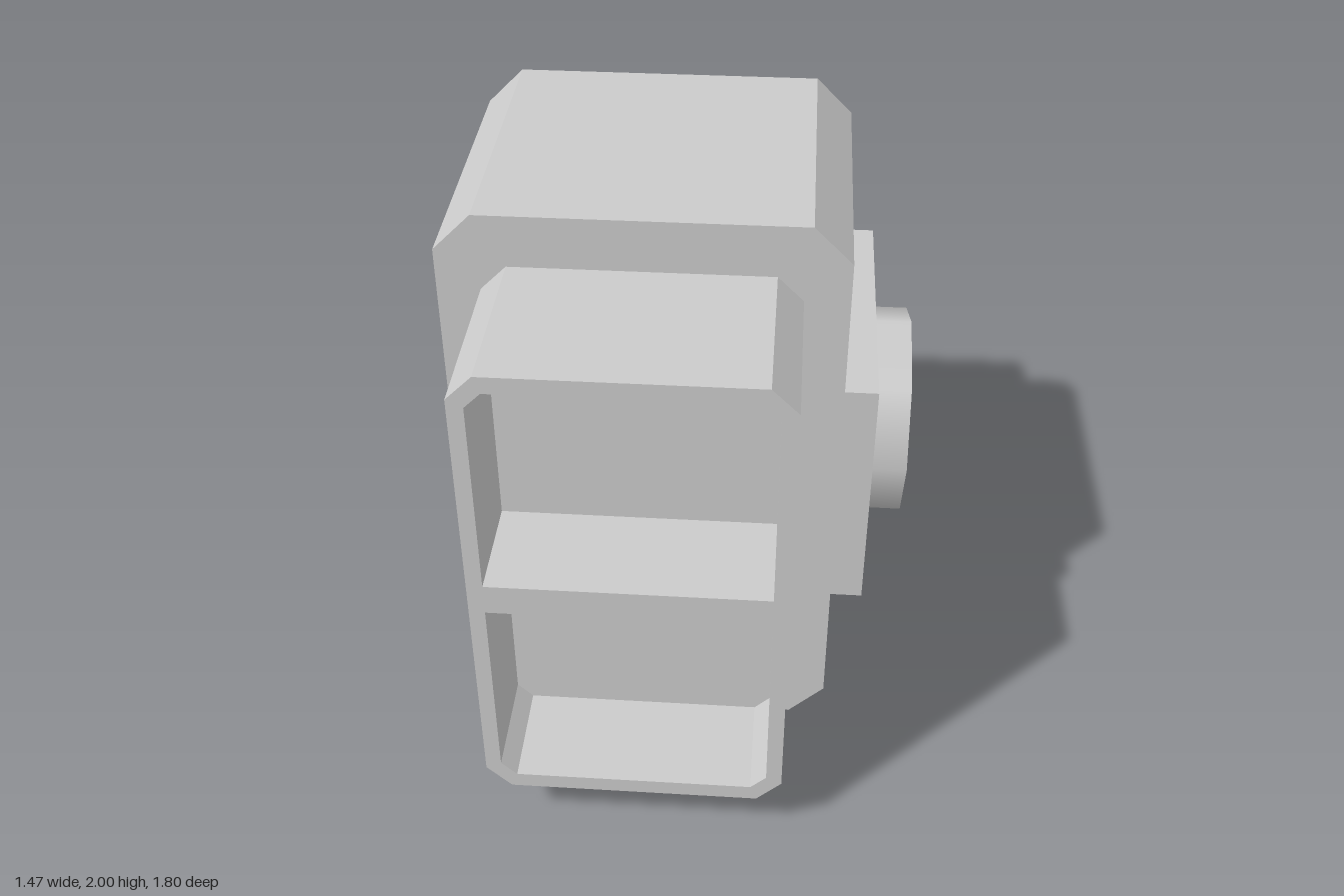
import * as THREE from 'three';

const material = new THREE.MeshStandardMaterial({ color: 0xcccccc });

// Traces a rectangle with its top and bottom corners cut off by the given amounts
function trace(path, x0, x1, y0, y1, topCut, bottomCut = topCut) {
  const corners = [
    [x0 + bottomCut, y0], [x1 - bottomCut, y0], [x1, y0 + bottomCut], [x1, y1 - topCut],
    [x1 - topCut, y1], [x0 + topCut, y1], [x0, y1 - topCut], [x0, y0 + bottomCut],
  ].map(([x, y]) => new THREE.Vector2(x, y));
  // Square corners give the same point twice, so keep one of each
  return path.setFromPoints(corners.filter((p, i) => !p.equals(corners[(i + 7) % 8])));
}

function createModel() {
  const model = new THREE.Group();

  const add = (name, geometry) => {
    const mesh = new THREE.Mesh(geometry, material);
    mesh.name = name;
    model.add(mesh);
    return mesh;
  };

  const extrude = (name, shape, z0, z1) => {
    const geometry = new THREE.ExtrudeGeometry(shape, { depth: z1 - z0, bevelEnabled: false });
    return add(name, geometry.translate(0, 0, z0));
  };

  // Chamfered outer housing
  extrude('housing', trace(new THREE.Shape(), -0.735, 0.505, 0, 2, 0.12), -0.66, 0.335);

  // Inner block running through the housing, and its recess floors
  const blockShape = () => trace(new THREE.Shape(), -0.6, 0.365, 0.18, 1.83, 0.08);
  const frontFloor = 0.55;
  const backFloor = -0.83;
  extrude('innerBlock', blockShape(), backFloor, frontFloor);

  // Two-window rims: deep at the front, shallow at the back
  const rim = blockShape();
  rim.holes.push(
    trace(new THREE.Path(), -0.55, 0.315, 1.065, 1.775, 0.05, 0),
    trace(new THREE.Path(), -0.55, 0.315, 0.235, 0.96, 0, 0.05),
  );
  extrude('frontWindowRim', rim, frontFloor, 0.9);
  extrude('backWindowRim', rim, -0.9, backFloor);

  // Raised side plate
  const plate = add('sidePlate', new THREE.BoxGeometry(0.105, 0.845, 0.995));
  plate.position.set(0.5575, 1.0025, -0.1625);

  // Eight-sided knob on the plate
  const knob = add('sideKnob', new THREE.CylinderGeometry(0.353, 0.353, 0.125, 8));
  knob.rotation.z = -Math.PI / 2;
  knob.position.set(0.6705, 1.013, -0.163);

  return model;
}

export { createModel };
